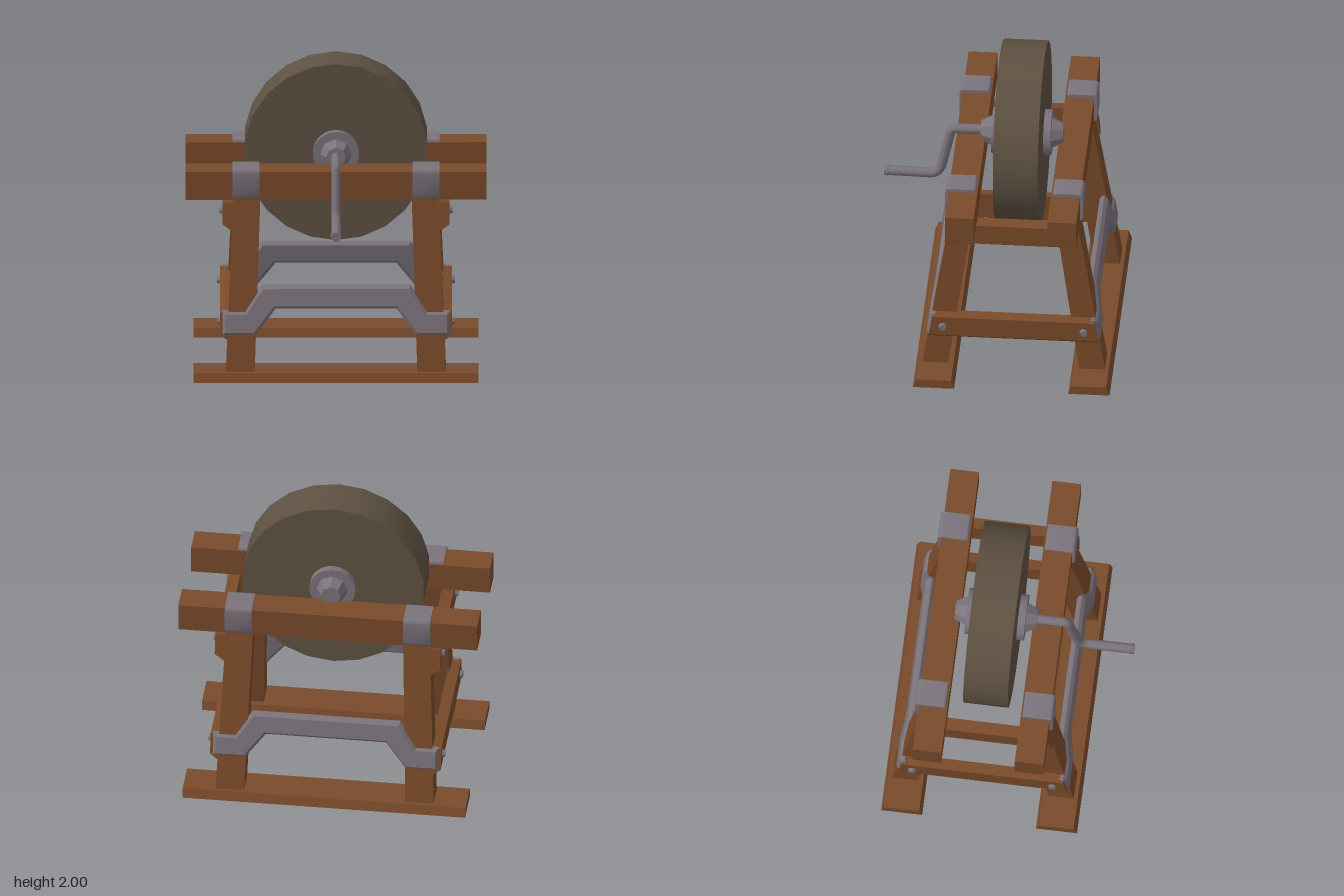
import * as THREE from 'three';
import { toCreasedNormals } from 'three/addons/utils/BufferGeometryUtils.js';

const mat = (name, color) => {
  const m = new THREE.MeshStandardMaterial({ color });
  m.name = name;
  return m;
};

export function createModel() {
  const wood = mat('brown wood', 0x7a4a2a);
  const iron = mat('grey iron', 0x7b737b);
  const stone = mat('grey brown stone', 0x5e5142);

  const model = new THREE.Group();
  model.name = 'grindstone';
  const body = new THREE.Group();
  body.name = 'body';
  body.position.set(-0.015, 0, -0.13);
  model.add(body);

  const add = (parent, name, geometry, material, x = 0, y = 0, z = 0) => {
    const mesh = new THREE.Mesh(geometry, material);
    mesh.name = name;
    mesh.position.set(x, y, z);
    parent.add(mesh);
    return mesh;
  };
  const polygon = pts => new THREE.Shape(pts.map(p => new THREE.Vector2(...p)));

  // Block with different bottom and top rectangles, each [x0, x1, z0, z1]
  const taperedBlock = (y0, y1, bottom, top) => {
    const g = new THREE.BoxGeometry(1, 1, 1);
    const p = g.attributes.position;
    for (let i = 0; i < p.count; i++) {
      const up = p.getY(i) > 0, r = up ? top : bottom;
      p.setXYZ(i, r[p.getX(i) > 0 ? 1 : 0], up ? y1 : y0, r[p.getZ(i) > 0 ? 3 : 2]);
    }
    g.computeVertexNormals();
    return g;
  };

  // Cross beam along z whose ends follow the slope of the legs
  const crossBeam = (pts, halfLength) => {
    const g = new THREE.ExtrudeGeometry(polygon(pts), { depth: 1, bevelEnabled: false });
    const p = g.attributes.position;
    for (let i = 0; i < p.count; i++) p.setZ(i, (p.getZ(i) - 0.5) * 2 * halfLength(p.getY(i)));
    g.computeVertexNormals();
    return g;
  };

  // Iron strap over the top and outer face of a rail
  const strapShape = new THREE.Shape();
  strapShape.moveTo(0.247, 1.35);
  strapShape.lineTo(0.415, 1.35);
  strapShape.lineTo(0.415, 1.18);
  strapShape.lineTo(0.432, 1.18);
  strapShape.lineTo(0.447, 1.21);
  strapShape.lineTo(0.447, 1.35);
  strapShape.quadraticCurveTo(0.447, 1.378, 0.42, 1.378);
  strapShape.lineTo(0.265, 1.378);
  strapShape.quadraticCurveTo(0.247, 1.378, 0.247, 1.35);
  const strap = toCreasedNormals(
    new THREE.ExtrudeGeometry(strapShape, { depth: 0.175, bevelEnabled: false, curveSegments: 5 })
      .translate(0, 0, -0.0875).rotateY(-Math.PI / 2), 0.6);

  // Raised-arch iron brace, bevelled and leaned back against the legs
  const half = [[0.735, 0.295], [0.735, 0.45], [0.59, 0.45], [0.48, 0.615]];
  const under = [[0.39, 0.465], [0.52, 0.295]];
  const flip = pts => pts.map(([x, y]) => [-x, y]).reverse();
  const bevel = 0.02;
  const brace = new THREE.ExtrudeGeometry(
    polygon([...half, ...flip(half), ...flip(under), ...under]),
    { depth: 0.015, bevelThickness: bevel, bevelSize: bevel, bevelOffset: -bevel, bevelSegments: 1 });
  const bp = brace.attributes.position;
  for (let i = 0; i < bp.count; i++) bp.setZ(i, bp.getZ(i) + 0.58 - 0.163 * bp.getY(i));
  brace.computeVertexNormals();

  // Front and back trestle halves
  for (const [name, turn] of [['front', 0], ['back', Math.PI]]) {
    const side = new THREE.Group();
    side.name = name + 'Frame';
    side.rotation.y = turn;
    body.add(side);
    add(side, 'foot', taperedBlock(0, 0.06, [-0.92, 0.92, 0.37, 0.637], [-0.92, 0.92, 0.39, 0.615]), wood);
    add(side, 'rail', new THREE.BoxGeometry(1.944, 0.187, 0.187), wood, 0, 1.264, 0.332);
    add(side, 'brace', brace, iron);
    for (const s of [-1, 1]) {
      const span = (a, b) => (s > 0 ? [a, b] : [-b, -a]);
      add(side, 'leg', taperedBlock(0.05, 1.2,
        [...span(0.525, 0.71), 0.426, 0.592], [...span(0.488, 0.662), 0.262, 0.405]), wood);
      add(side, 'strap', strap, iron, s * 0.58);
    }
  }

  // Left and right cross beams with their bolts
  const bolt = new THREE.CylinderGeometry(0.022, 0.031, 0.03, 8).rotateZ(-Math.PI / 2).toNonIndexed();
  bolt.computeVertexNormals();
  for (const [name, turn] of [['left', 0], ['right', Math.PI]]) {
    const side = new THREE.Group();
    side.name = name + 'Beams';
    side.rotation.y = turn;
    body.add(side);
    add(side, 'upperBeam', crossBeam(
      [[0.655, 0.97], [0.675, 0.97], [0.733, 1.01], [0.733, 1.147], [0.655, 1.16]],
      y => 0.452 - 0.17 * (y - 0.97)), wood);
    add(side, 'lowerBeam', crossBeam(
      [[0.68, 0.268], [0.71, 0.268], [0.75, 0.3], [0.75, 0.437], [0.68, 0.45]],
      y => 0.553 - 0.163 * (y - 0.27)), wood);
    for (const s of [-1, 1]) {
      add(side, 'upperBolt', bolt, iron, 0.737, 1.08, s * 0.346);
      add(side, 'lowerBolt', bolt, iron, 0.754, 0.367, s * 0.456);
    }
  }

  // Grinding wheel and hub
  const axleY = 1.407;
  const disc = (r0, r1, h, n) => new THREE.CylinderGeometry(r1, r0, h, n).rotateX(Math.PI / 2);
  add(body, 'wheel', disc(0.593, 0.593, 0.29, 22), stone, 0, axleY, 0);
  add(body, 'flange', disc(0.15, 0.15, 0.385, 24), iron, 0, axleY, 0);
  const nut = disc(0.105, 0.065, 0.08, 8).toNonIndexed();
  nut.computeVertexNormals();
  add(body, 'frontNut', nut, iron, 0, axleY, 0.227);
  add(body, 'backNut', nut, iron, 0, axleY, -0.227).rotation.y = Math.PI;

  // Crank with two rounded bends
  const v = (y, z) => new THREE.Vector3(0, y, z);
  const path = new THREE.CurvePath();
  path.add(new THREE.LineCurve3(v(1.407, 0.24), v(1.407, 0.43)));
  path.add(new THREE.QuadraticBezierCurve3(v(1.407, 0.43), v(1.41, 0.462), v(1.37, 0.468)));
  path.add(new THREE.LineCurve3(v(1.37, 0.468), v(1.14, 0.518)));
  path.add(new THREE.QuadraticBezierCurve3(v(1.14, 0.518), v(1.055, 0.535), v(1.055, 0.6)));
  path.add(new THREE.LineCurve3(v(1.055, 0.6), v(1.06, 0.88)));
  add(body, 'crank', new THREE.TubeGeometry(path, 48, 0.032, 10), iron);
  add(body, 'crankEnd', disc(0.037, 0.033, 0.024, 10), iron, 0, 1.06, 0.882);

  return model;
}
